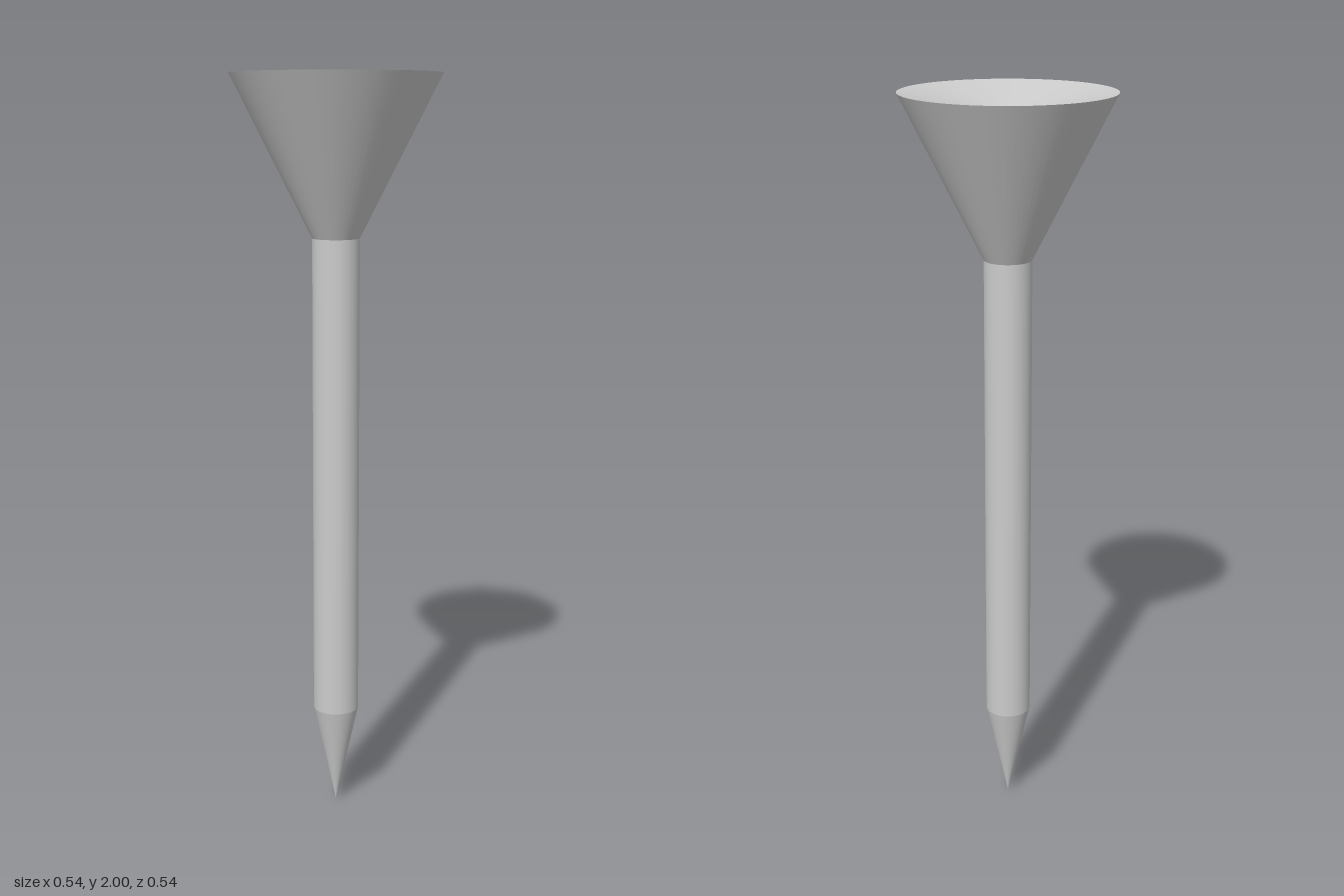
import * as THREE from 'three';

const SEGMENTS = 64;
const RIM = 0.272, SHAFT = 0.062;
const TOP = 2, NECK = 1.585, TIP = 0.285, DISH = 1.94;

export function createModel() {
  const group = new THREE.Group();
  const material = new THREE.MeshStandardMaterial({ color: 0xcccccc });

  // Each part is its own turned surface, so the edges between parts stay sharp
  const addTurned = (name, ...profile) => {
    const points = profile.map(([r, y]) => new THREE.Vector2(r, y));
    const mesh = new THREE.Mesh(new THREE.LatheGeometry(points, SEGMENTS), material);
    mesh.name = name;
    group.add(mesh);
  };

  addTurned('tip', [0, 0], [SHAFT, TIP]);
  addTurned('shaft', [SHAFT, TIP], [SHAFT, NECK]);
  addTurned('flaredHead', [SHAFT, NECK], [RIM, TOP]);
  // Shallow conical hollow, running inwards so that it faces up
  addTurned('dish', [RIM, TOP], [0, DISH]);

  return group;
}
